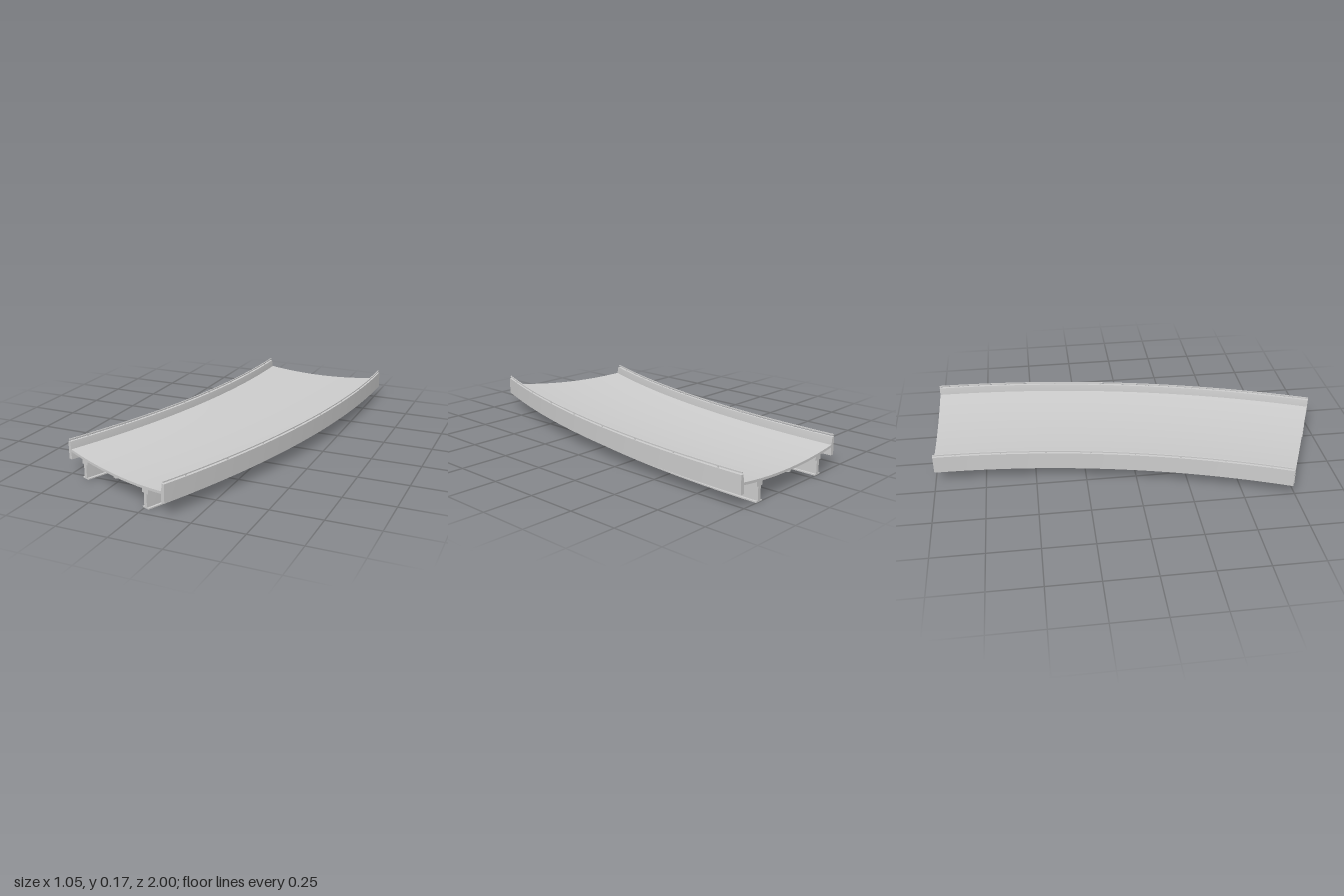
import * as THREE from 'three';
import { toCreasedNormals } from 'three/addons/utils/BufferGeometryUtils.js';

// Everything is laid out straight (x = offset from centreline, z = length) and then bent on an arc.
const R = 4.873, ANGLE = Math.PI / 8, LENGTH = R * ANGLE;
const CENTRE_X = -4.701, HALF = 0.353;
const BAY = LENGTH / 5;
const material = new THREE.MeshStandardMaterial({ color: 0xcccccc, side: THREE.DoubleSide });

function bend(geometry) {
  const p = geometry.attributes.position;
  for (let i = 0; i < p.count; i++) {
    const r = R + p.getX(i), a = p.getZ(i) / R;
    p.setXYZ(i, CENTRE_X + r * Math.cos(a), p.getY(i), -1 + r * Math.sin(a));
  }
  return toCreasedNormals(geometry, 0.4);
}

function add(group, name, geometry) {
  const mesh = new THREE.Mesh(bend(geometry), material);
  mesh.name = name;
  group.add(mesh);
}

// Cross-section pulled along the road from z0 to z1
function section(points, z0 = 0, z1 = LENGTH, steps = 32) {
  const shape = new THREE.Shape(points.map(([x, y]) => new THREE.Vector2(x, y)));
  const g = new THREE.ExtrudeGeometry(shape, { depth: z1 - z0, steps, bevelEnabled: false });
  return g.translate(0, 0, z0);
}

function box(w, h, d, x, y, z) {
  return new THREE.BoxGeometry(w, h, d).translate(x, y, z);
}

export function createModel() {
  const group = new THREE.Group();
  group.name = 'curvedBridgeSpan';

  // Dished road deck
  const deckY = x => 0.093 + 0.024 * (x / 0.34) ** 2;
  const top = [], under = [];
  for (let i = 0; i <= 16; i++) {
    const x = -0.342 + 0.684 * i / 16;
    top.unshift([x, deckY(x)]);
    under.push([x, deckY(x) - 0.012]);
  }
  add(group, 'deck', section([...under, ...top]));

  for (const s of [-1, 1]) {
    const side = s > 0 ? 'left' : 'right';

    // Parapet with a slightly battered inner face
    add(group, side + 'Parapet', section([
      [s * HALF, 0.065], [s * HALF, 0.153], [s * 0.339, 0.153], [s * 0.333, 0.115], [s * 0.333, 0.065],
    ]));

    // Low handrail on short posts
    const railX = s * 0.346;
    add(group, side + 'Rail', section([
      [railX - 0.003, 0.159], [railX + 0.003, 0.159], [railX + 0.003, 0.165], [railX - 0.003, 0.165],
    ]));
    for (let i = 0; i < 8; i++)
      add(group, side + 'RailPost', box(0.005, 0.01, 0.006, railX, 0.157, (i + 0.5) * LENGTH / 8));

    // I-section girder
    const f = 0.02, w = 0.009, gx = s * 0.224;
    add(group, side + 'Girder', section([
      [-f, 0], [f, 0], [f, 0.006], [w, 0.006], [w, 0.071], [f, 0.071], [f, 0.093],
      [-f, 0.093], [-f, 0.071], [-w, 0.071], [-w, 0.006], [-f, 0.006],
    ].map(([x, y]) => [gx + x, y])));

    // Tapered brackets carrying the overhang
    for (let i = 0; i < 5; i++) {
      const z = (i + 0.5) * BAY;
      add(group, side + 'Bracket', section([
        [s * 0.232, 0.04], [s * 0.334, 0.068], [s * 0.334, 0.106], [s * 0.232, 0.092],
      ], z - 0.006, z + 0.006, 1));
    }
  }

  // Cross beams between the girders
  for (let i = 0; i < 5; i++)
    add(group, 'crossBeam', box(0.434, 0.026, 0.02, 0, 0.05, (i + 0.5) * BAY));

  // Crossed braces under the deck, halved at both ends of the span
  function brace(x0, z0, x1, z1) {
    const dx = x1 - x0, dz = z1 - z0;
    const g = new THREE.BoxGeometry(0.012, 0.012, Math.hypot(dx, dz), 1, 1, 4);
    g.rotateY(Math.atan2(dx, dz)).translate((x0 + x1) / 2, 0.079, (z0 + z1) / 2);
    add(group, 'brace', g);
  }
  for (const s of [-1, 1]) {
    const x = s * 0.215;
    for (let i = 0; i < 4; i++) brace(x, (i + 0.5) * BAY, -x, (i + 1.5) * BAY);
    brace(0, 0.005, x, 0.5 * BAY);
    brace(x, 4.5 * BAY, 0, LENGTH - 0.005);
  }

  return group;
}
